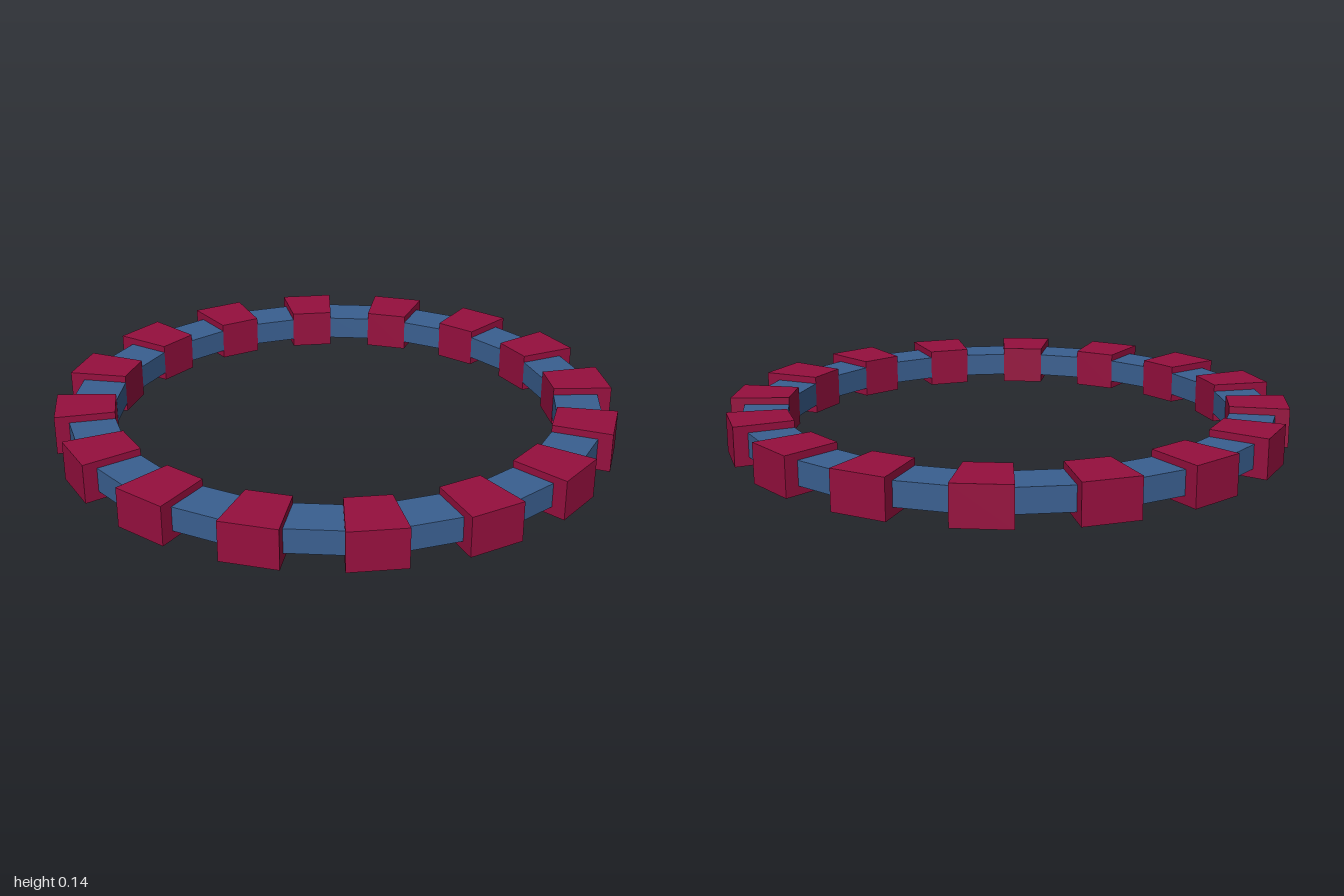
import * as THREE from 'three';

const SEGMENTS = 32;
const STEP = (Math.PI * 2) / SEGMENTS;

// Straight-sided wedge of the ring, spanning one step from angle 0 towards +z
function wedge(inner, outer, bottom, top) {
  const c = Math.cos(STEP), s = Math.sin(STEP);
  const shape = new THREE.Shape([
    new THREE.Vector2(inner, 0),
    new THREE.Vector2(outer, 0),
    new THREE.Vector2(outer * c, outer * s),
    new THREE.Vector2(inner * c, inner * s),
  ]);
  const geometry = new THREE.ExtrudeGeometry(shape, { depth: top - bottom, bevelEnabled: false });
  geometry.rotateX(Math.PI / 2);
  geometry.translate(0, top, 0);
  return geometry;
}

export function createModel() {
  const model = new THREE.Group();
  model.name = 'segmentedRing';

  const crimson = new THREE.MeshStandardMaterial({ color: 0x960f3e });
  crimson.name = 'crimson';
  const blue = new THREE.MeshStandardMaterial({ color: 0x3a5f90 });
  blue.name = 'slate blue';

  const blockGeometry = wedge(0.79, 1.0, 0, 0.14);
  const linkGeometry = wedge(0.79, 0.95, 0.03, 0.115);

  // Large blocks alternate with slimmer links, flush on the inner side
  for (let i = 0; i < SEGMENTS; i++) {
    const isBlock = i % 2 === 0;
    const mesh = new THREE.Mesh(isBlock ? blockGeometry : linkGeometry, isBlock ? crimson : blue);
    mesh.name = (isBlock ? 'block' : 'link') + (Math.floor(i / 2) + 1);
    mesh.rotation.y = -i * STEP;
    model.add(mesh);
  }
  return model;
}
